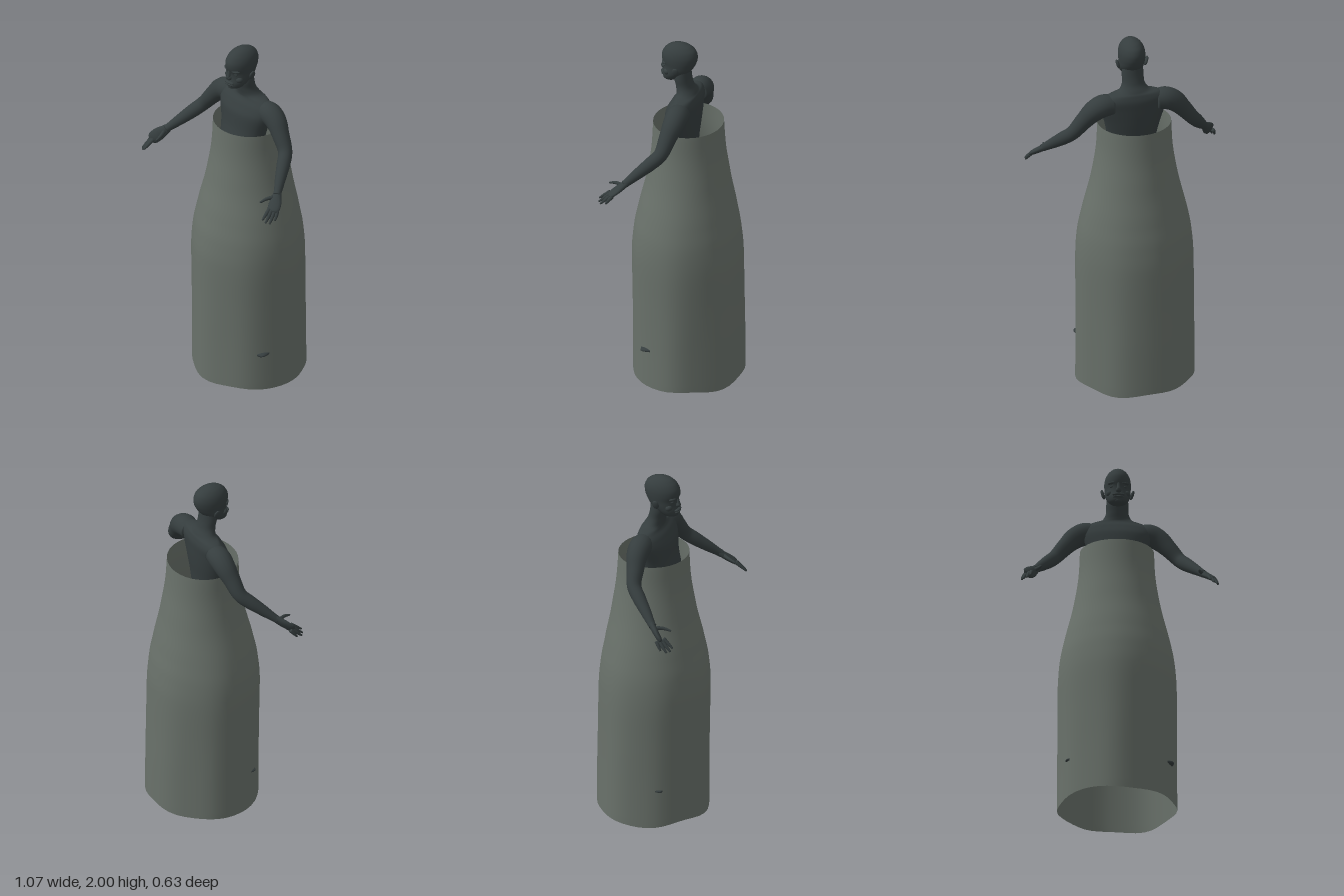
import * as THREE from 'three';

const V = (x, y, z) => new THREE.Vector3(x, y, z);

// Skin closed rings of points into one smooth surface, optionally capped
function skin(rings, capped = true) {
  const n = rings[0].length, pos = [], idx = [];
  rings.forEach(r => r.forEach(p => pos.push(p.x, p.y, p.z)));
  for (let i = 0; i < rings.length - 1; i++)
    for (let j = 0; j < n; j++) {
      const a = i * n + j, b = i * n + (j + 1) % n, c = b + n, d = a + n;
      idx.push(a, b, c, a, c, d);
    }
  if (capped) [0, rings.length - 1].forEach((ri, end) => {
    const c = V(0, 0, 0), k = pos.length / 3;
    rings[ri].forEach(p => c.addScaledVector(p, 1 / n));
    pos.push(c.x, c.y, c.z);
    for (let j = 0; j < n; j++) {
      const a = ri * n + j, b = ri * n + (j + 1) % n;
      if (end) idx.push(a, b, k); else idx.push(b, a, k);
    }
  });
  const g = new THREE.BufferGeometry();
  g.setAttribute('position', new THREE.Float32BufferAttribute(pos, 3));
  g.setIndex(idx);
  g.computeVertexNormals();
  return g;
}

// Upright form from [y, halfWidth, zBack, zFront] sections
function upright(keys, steps, sides, capped = true, shape = (t, y) => 1) {
  const a = new THREE.CatmullRomCurve3(keys.map(k => V(k[0], k[1], 0)), false, 'centripetal');
  const b = new THREE.CatmullRomCurve3(keys.map(k => V(k[2], k[3], 0)), false, 'catmullrom', 0.4);
  const rings = [];
  for (let i = 0; i <= steps; i++) {
    const p = a.getPoint(i / steps), q = b.getPoint(i / steps), ring = [];
    for (let j = 0; j < sides; j++) {
      const t = j / sides * Math.PI * 2, s = shape(t, p.x);
      ring.push(V(p.y * s * Math.cos(t), p.x, (q.x + q.y) / 2 - (q.y - q.x) / 2 * s * Math.sin(t)));
    }
    rings.push(ring);
  }
  return skin(rings, capped);
}

// Limb along [x, y, z, radius, flatness] keys; flatness thins the second axis
function limb(keys, steps = 20, sides = 14, ref = V(0, 0, 1)) {
  const path = new THREE.CatmullRomCurve3(keys.map(k => V(k[0], k[1], k[2])), false, 'centripetal');
  const size = new THREE.CatmullRomCurve3(keys.map((k, i) => V(k[3], k[4] ?? 1, i * 0.1)), false, 'catmullrom', 0.4);
  const rings = [];
  for (let i = 0; i <= steps; i++) {
    const c = path.getPoint(i / steps), T = path.getTangent(i / steps), s = size.getPoint(i / steps);
    const U = ref.clone().addScaledVector(T, -ref.dot(T)).normalize();
    const W = T.clone().cross(U), ring = [];
    for (let j = 0; j < sides; j++) {
      const t = j / sides * Math.PI * 2;
      ring.push(c.clone().addScaledVector(U, s.x * Math.cos(t)).addScaledVector(W, s.x * s.y * Math.sin(t)));
    }
    rings.push(ring);
  }
  return skin(rings);
}

export function createModel() {
  const model = new THREE.Group();
  const skinMat = new THREE.MeshStandardMaterial({ color: 0x353d3e });
  skinMat.name = 'dark slate skin';
  const cloth = new THREE.MeshStandardMaterial({ color: 0x69716a, side: THREE.DoubleSide });
  cloth.name = 'grey green cloth';
  const add = (name, geo, mat = skinMat, parent = model) => {
    const m = new THREE.Mesh(geo, mat);
    m.name = name;
    parent.add(m);
    return m;
  };
  const ball = (name, x, y, z, sx, sy, sz, parent) => {
    const m = add(name, new THREE.SphereGeometry(1, 18, 12), skinMat, parent);
    m.position.set(x, y, z);
    m.scale.set(sx, sy, sz);
    return m;
  };

  // Open tube dress with soft folds and a wavy hem
  const dress = upright([
    [0.01, 0.32, -0.312, 0.292], [0.25, 0.318, -0.31, 0.292], [0.5, 0.318, -0.306, 0.294],
    [0.75, 0.318, -0.302, 0.296], [0.88, 0.308, -0.29, 0.284], [1.0, 0.285, -0.27, 0.26],
    [1.2, 0.237, -0.235, 0.215], [1.38, 0.208, -0.21, 0.188], [1.53, 0.2, -0.2, 0.18],
  ], 40, 42, false, (t, y) => {
    const k = THREE.MathUtils.clamp((1.2 - y) / 0.9, 0, 1);
    return 1 + k * (0.014 * Math.sin(7 * t + 0.6) + 0.012 * Math.sin(4 * t + 2));
  });
  const dp = dress.attributes.position;
  for (let j = 0; j < 42; j++)
    dp.setY(j, 0.01 + 0.006 * Math.sin(j / 42 * Math.PI * 10) + 0.004 * Math.cos(j / 42 * Math.PI * 6));
  dress.computeVertexNormals();
  add('dress', dress, cloth);

  // Trunk from hips to neck
  add('torso', upright([
    [0.96, 0.07, -0.06, 0.06], [1.04, 0.145, -0.09, 0.09], [1.15, 0.145, -0.09, 0.105],
    [1.3, 0.115, -0.055, 0.12], [1.42, 0.135, -0.06, 0.138], [1.53, 0.16, -0.07, 0.112],
    [1.61, 0.185, -0.074, 0.1], [1.66, 0.19, -0.075, 0.075], [1.695, 0.15, -0.066, 0.05],
    [1.715, 0.085, -0.055, 0.05], [1.75, 0.062, -0.036, 0.058], [1.8, 0.06, -0.025, 0.07],
    [1.86, 0.055, -0.02, 0.07],
  ], 52, 32));

  // Head and face
  const head = new THREE.Group();
  head.name = 'head';
  model.add(head);
  add('skull', upright([
    [1.772, 0.02, 0.075, 0.118], [1.785, 0.045, 0.045, 0.132], [1.81, 0.06, 0.01, 0.136],
    [1.84, 0.068, -0.025, 0.13], [1.87, 0.07, -0.045, 0.13], [1.9, 0.072, -0.057, 0.14],
    [1.93, 0.07, -0.06, 0.14], [1.96, 0.06, -0.05, 0.125], [1.983, 0.042, -0.025, 0.1],
    [1.995, 0.022, 0.005, 0.07], [2.0, 0.004, 0.03, 0.045],
  ], 40, 28), skinMat, head);
  ball('nose', 0, 1.842, 0.13, 0.016, 0.014, 0.018, head);
  add('noseBridge', limb([[0, 1.89, 0.128, 0.007], [0, 1.865, 0.132, 0.009], [0, 1.842, 0.138, 0.011]], 8, 10, V(1, 0, 0)), skinMat, head);
  ball('upperLip', 0, 1.816, 0.129, 0.034, 0.008, 0.017, head);
  ball('lowerLip', 0, 1.803, 0.127, 0.03, 0.008, 0.017, head);
  ball('chin', 0, 1.785, 0.113, 0.025, 0.014, 0.02, head);
  for (const s of [-1, 1]) {
    ball('brow', s * 0.032, 1.888, 0.115, 0.027, 0.008, 0.016, head).rotation.y = s * 0.4;
    ball('eye', s * 0.031, 1.868, 0.11, 0.015, 0.008, 0.012, head);
    ball('cheek', s * 0.04, 1.835, 0.095, 0.025, 0.02, 0.022, head);
    ball('ear', s * 0.079, 1.857, 0.035, 0.009, 0.028, 0.019, head).rotation.z = -s * 0.3;
  }

  // Arms, hands and legs, mirrored left and right
  for (const s of [1, -1]) {
    const side = s > 0 ? 'left' : 'right';
    const part = (name, keys, steps, sides, ref) =>
      add(side + name, limb(keys.map(([x, ...r]) => [s * x, ...r]), steps, sides, ref));

    part('Arm', [
      [0.12, 1.64, -0.01, 0.055], [0.175, 1.64, -0.01, 0.062], [0.225, 1.615, -0.008, 0.058],
      [0.28, 1.555, 0.005, 0.047], [0.335, 1.485, 0.022, 0.039], [0.37, 1.44, 0.065, 0.037],
      [0.405, 1.395, 0.115, 0.031], [0.445, 1.345, 0.17, 0.022], [0.455, 1.332, 0.185, 0.021],
    ], 36, 18);
    part('Palm', [
      [0.445, 1.345, 0.17, 0.021, 0.85], [0.46, 1.325, 0.192, 0.027, 0.65],
      [0.478, 1.303, 0.218, 0.035, 0.45], [0.494, 1.282, 0.243, 0.034, 0.4], [0.502, 1.272, 0.254, 0.024, 0.4],
    ], 14, 14, V(0.65, 0.15, -0.6));
    const fingers = [
      [[0.477, 1.285, 0.258], [0.482, 1.262, 0.288], [0.486, 1.24, 0.316]],
      [[0.49, 1.28, 0.254], [0.499, 1.252, 0.284], [0.505, 1.228, 0.312]],
      [[0.503, 1.276, 0.246], [0.515, 1.25, 0.272], [0.523, 1.226, 0.297]],
      [[0.512, 1.278, 0.232], [0.523, 1.256, 0.249], [0.529, 1.235, 0.264]],
      [[0.45, 1.325, 0.205], [0.433, 1.32, 0.242], [0.426, 1.31, 0.28]],
    ];
    fingers.forEach(([a, b, c], i) => part(i === 4 ? 'Thumb' : 'Finger',
      [[...a, 0.011], [...b, 0.009], [...c, 0.005]], 8, 8, V(1, 0, 0)));

    // Legs spread apart inside the dress
    ball(side + 'Buttock', s * 0.066, 1.07, -0.06, 0.072, 0.085, 0.072, model);
    part('Leg', [
      [0.075, 1.06, 0, 0.075], [0.09, 0.96, 0, 0.083], [0.125, 0.8, 0.012, 0.07],
      [0.16, 0.63, 0.015, 0.05], [0.18, 0.52, -0.005, 0.05], [0.205, 0.38, -0.01, 0.034],
      [0.218, 0.27, -0.005, 0.025], [0.22, 0.245, 0, 0.024],
    ], 32, 16);
    const out = s > 0 ? 0.012 : 0;
    part('Foot', [
      [0.212, 0.245, -0.04, 0.018], [0.218, 0.248, -0.005, 0.028], [0.232, 0.238, 0.05, 0.031, 0.85],
      [0.248 + out, 0.228, 0.1, 0.034, 0.5], [0.258 + out, 0.225, 0.14, 0.03, 0.35],
      [0.262 + out, 0.224, 0.158, 0.02, 0.3],
    ], 20, 14, V(1, 0, 0));
  }
  return model;
}
